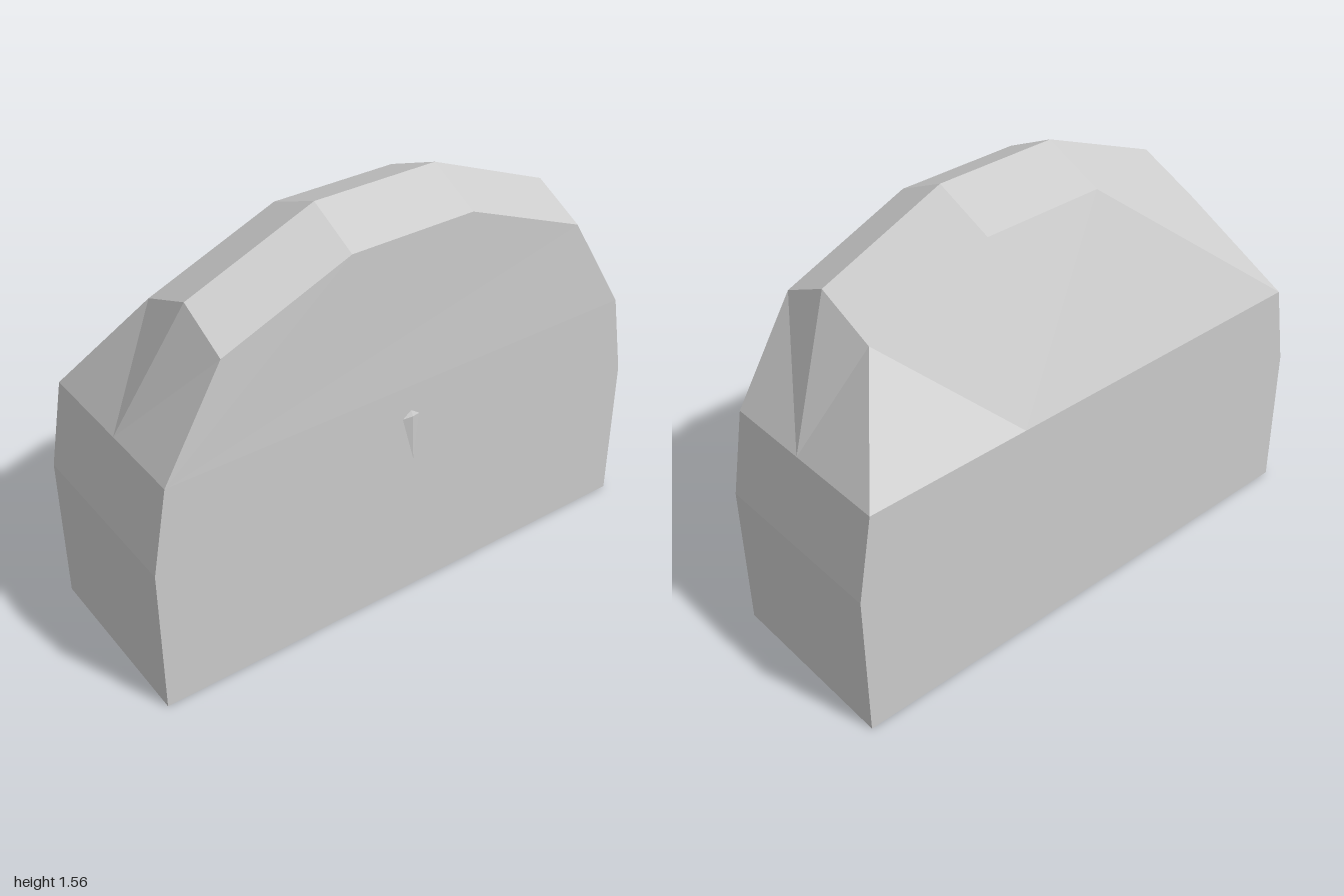
import * as THREE from 'three';

const material = new THREE.MeshStandardMaterial({ color: 0xcccccc, flatShading: true, side: THREE.DoubleSide });

// Builds a flat-shaded mesh from polygons, each fanned from its first corner and turned outward
function faceted(name, faces) {
  const out = [];
  const centre = new THREE.Vector3(0, 0.7, 0);
  for (const face of faces) {
    const p = face.map((c) => new THREE.Vector3(...c));
    for (let i = 1; i < p.length - 1; i++) {
      const tri = [p[0], p[i], p[i + 1]];
      const normal = new THREE.Triangle(...tri).getNormal(new THREE.Vector3());
      if (normal.dot(p[0].clone().sub(centre)) < 0) tri.reverse();
      tri.forEach((v) => out.push(v.x, v.y, v.z));
    }
  }
  const geometry = new THREE.BufferGeometry();
  geometry.setAttribute('position', new THREE.Float32BufferAttribute(out, 3));
  geometry.computeVertexNormals();
  const mesh = new THREE.Mesh(geometry, material);
  mesh.name = name;
  return mesh;
}

export function createModel() {
  const group = new THREE.Group();
  group.name = 'roundedBlock';

  // Levels of the outline
  const L = -0.36, R = 0.345;
  const foot = (x, s) => [x, 0, s];
  const waist = (x, s) => [x, 0.57, s];
  const shoulder = (x, s) => [x, 0.89, 0.94 * s];
  // Cross-section of the crown: left edge, ridge, right edge
  const crown = [[-0.095, 0], [0.135, 0.097], [0.335, 0]];
  const low = (i, s) => [crown[i][0], 1.265 + crown[i][1], 0.715 * s];
  const high = (i, s) => [crown[i][0], 1.46 + crown[i][1], 0.238 * s];

  // Base block
  const base = [
    [foot(L, 1), foot(R, 1), foot(R, -1), foot(L, -1)],
    ...[L, R].map((x) => [foot(x, 1), waist(x, 1), shoulder(x, 1), shoulder(x, -1), waist(x, -1), foot(x, -1)]),
  ];
  for (const s of [1, -1]) {
    base.push([foot(L, s), foot(R, s), waist(R, s), waist(L, s)]);
    base.push([waist(L, s), waist(R, s), shoulder(R, s), shoulder(L, s)]);
  }
  group.add(faceted('base', base));

  // Ridged crown with sloping ends
  const top = [];
  for (const i of [0, 1]) {
    top.push([high(i, 1), high(i + 1, 1), high(i + 1, -1), high(i, -1)]);
    for (const s of [1, -1]) top.push([low(i, s), low(i + 1, s), high(i + 1, s), high(i, s)]);
  }
  for (const s of [1, -1]) {
    const middle = shoulder(0.02, s);
    top.push([middle, shoulder(L, s), low(0, s), low(1, s)]);
    top.push([middle, low(1, s), low(2, s), shoulder(R, s)]);
  }
  // Flat right wall
  top.push([shoulder(R, 1), low(2, 1), high(2, 1), high(2, -1), low(2, -1), shoulder(R, -1)]);
  // Sloping left wall, split off-centre
  const split = [L, 0.89, -0.315];
  top.push([split, shoulder(L, -1), low(0, -1), high(0, -1)]);
  top.push([high(0, 1), high(0, -1), split, shoulder(L, 1), low(0, 1)]);
  group.add(faceted('crown', top));

  // Tiny pointed stud on the right wall
  const tip = [R, 0.58, -0.015], peak = [0.355, 0.77, 0], lip = [R, 0.79, 0];
  const a = [R, 0.765, 0.035], b = [R, 0.765, -0.035];
  group.add(faceted('wallStud', [[tip, a, peak], [tip, peak, b], [peak, a, lip], [peak, lip, b]]));

  return group;
}
